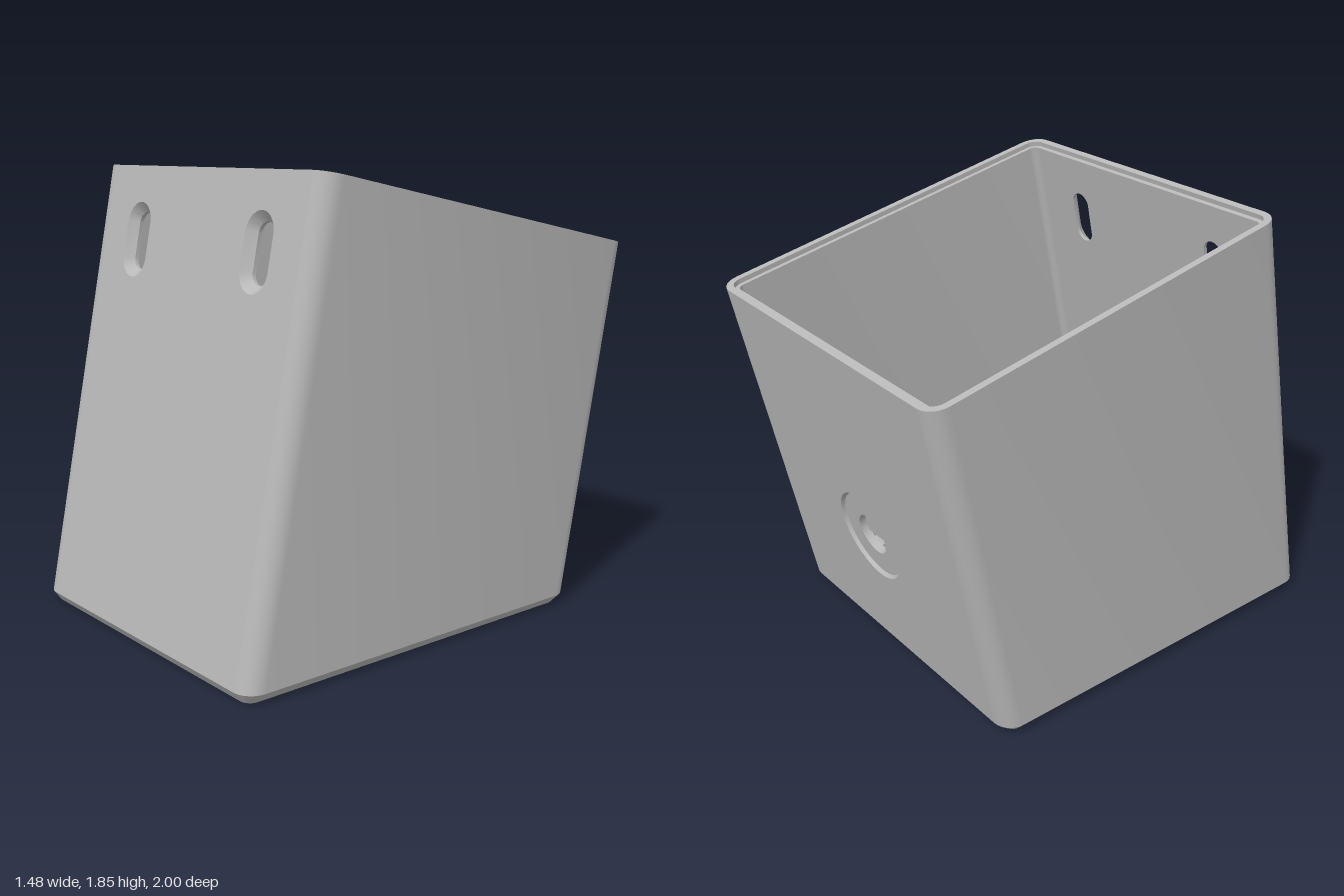
import * as THREE from 'three';
import { toCreasedNormals } from 'three/addons/utils/BufferGeometryUtils.js';

const TILT = Math.atan(0.2), S = Math.sin(TILT), C = Math.cos(TILT);
const HALF_X = 0.74, FRONT = 0.988, BACK = -0.679, TOP = 1.684;   // sizes in the tilted frame
const RADIUS = 0.08, WALL = 0.05, N = 6;
const FLOOR = 0.1, RIM_STEP = 0.02;
const FRONT_EDGE = N, BACK_EDGE = 3 * N + 2;   // flat edges of a rounded rectangle

// Rounded rectangle as [x, z] pairs
function roundedRect(halfX, z0, z1, r) {
  const pts = [], corners = [[1, 1], [-1, 1], [-1, -1], [1, -1]];
  corners.forEach(([sx, sz], k) => {
    for (let i = 0; i <= N; i++) {
      const a = (k + i / N) * Math.PI / 2;
      const cz = sz > 0 ? z1 - r : z0 + r;
      pts.push([sx * (halfX - r) + r * Math.cos(a), cz + r * Math.sin(a)]);
    }
  });
  return pts;
}

const section = inset => roundedRect(HALF_X - inset, BACK + inset, FRONT - inset, RADIUS - inset);
const levelY = (z, h) => (h - z * S) / C;   // tilted-frame y of a level plane at height h
const squareLoop = (inset, y) => section(inset).map(([x, z]) => new THREE.Vector3(x, y, z));
const levelLoop = (inset, h) => section(inset).map(([x, z]) => new THREE.Vector3(x, levelY(z, h), z));
const openingLoop = h => roundedRect(0.6, -0.51, 0.72, 0.015)
  .map(([x, z]) => new THREE.Vector3(x, h * C - z * S, z * C + h * S));

// Slot outline (a circle when half = 0)
function slotLoop(r, half, cx, cy, z) {
  const pts = [], n = 32;
  for (let i = 0; i < n; i++) {
    const a = (i + 0.5) / n * Math.PI * 2;
    pts.push(new THREE.Vector3(cx + r * Math.cos(a), cy + r * Math.sin(a) + half * Math.sign(Math.sin(a)), z));
  }
  return pts;
}

// Skin between successive closed loops
function loft(loops, skip = () => false) {
  const pos = [];
  for (let i = 0; i < loops.length - 1; i++) {
    const p = loops[i], q = loops[i + 1];
    p.forEach((a, j) => {
      if (skip(i, j)) return;
      const k = (j + 1) % p.length;
      for (const v of [a, q[j], q[k], a, q[k], p[k]]) pos.push(v.x, v.y, v.z);
    });
  }
  const g = new THREE.BufferGeometry();
  g.setAttribute('position', new THREE.Float32BufferAttribute(pos, 3));
  return toCreasedNormals(g, 0.5);
}

// Flat wall face with holes
function panel(y0, y1, z, facesBack, holes) {
  const w = HALF_X - RADIUS;
  const shape = new THREE.Shape([[-w, y0], [w, y0], [w, y1], [-w, y1]].map(p => new THREE.Vector2(...p)));
  holes.forEach(h => shape.holes.push(new THREE.Path(h.map(v => new THREE.Vector2(v.x, v.y)))));
  const g = new THREE.ShapeGeometry(shape);
  if (facesBack) g.rotateY(Math.PI);
  return g.translate(0, 0, z);
}

export function createModel() {
  const grey = new THREE.MeshStandardMaterial({ color: 0xb8b8b8 });
  grey.name = 'grey';
  const model = new THREE.Group();
  model.name = 'leaningBin';
  const body = new THREE.Group();
  body.name = 'tiltedBody';
  body.rotation.x = -TILT;
  model.add(body);

  const add = (name, geometry, parent = body) => {
    const m = new THREE.Mesh(geometry, grey);
    m.name = name;
    parent.add(m);
    return m;
  };
  const box = (name, w, h, d, x, y, z, parent) =>
    add(name, new THREE.BoxGeometry(w, h, d), parent).position.set(x, y, z);

  // Shell: chamfered foot, outer wall, stepped rim, inner wall, floor with opening
  const shell = [
    levelLoop(0.035, 0), levelLoop(0, 0.04), squareLoop(0, TOP), squareLoop(0.03, TOP),
    squareLoop(0.03, TOP - RIM_STEP), squareLoop(WALL, TOP - RIM_STEP), levelLoop(WALL, FLOOR),
    openingLoop(FLOOR), openingLoop(0), levelLoop(0.035, 0),
  ];
  add('shell', loft(shell, (i, j) => (i === 1 || i === 5) && (j === FRONT_EDGE || j === BACK_EDGE)));

  // Countersunk slots through the front wall
  const innerFront = FRONT - WALL, innerBack = BACK + WALL;
  const slotY = 1.383, slotHalf = 0.068;
  const slots = [-0.41, 0.41].map(x => [
    slotLoop(0.05, slotHalf, x, slotY, innerFront),
    slotLoop(0.05, slotHalf, x, slotY, FRONT - 0.035),
    slotLoop(0.085, slotHalf, x, slotY, FRONT),
  ]);
  slots.forEach(s => add('slotEdge', loft(s)));
  add('frontOuterFace', panel(levelY(FRONT, 0.04), TOP, FRONT, false, slots.map(s => s[2])));
  add('frontInnerFace', panel(levelY(innerFront, FLOOR), TOP - RIM_STEP, innerFront, true, slots.map(s => s[0])));

  // Round recess with a central hole in the back wall
  const holeY = 0.77;
  const socket = [[0.2, BACK], [0.19, BACK + 0.015], [0.09, BACK + 0.015], [0.09, innerBack]]
    .map(([r, z]) => slotLoop(r, 0, 0, holeY, z));
  add('backSocket', loft(socket));
  add('backOuterFace', panel(levelY(BACK, 0.04), TOP, BACK, true, [socket[0]]));
  add('backInnerFace', panel(levelY(innerBack, FLOOR), TOP - RIM_STEP, innerBack, false, [socket[3]]));

  // Small latch behind the hole
  box('latchArm', 0.18, 0.08, 0.19, 0, holeY, -0.54);
  box('latchLip', 0.18, 0.13, 0.05, 0, holeY - 0.025, -0.47);
  box('latchAxle', 0.3, 0.03, 0.03, 0, holeY, -0.6);
  for (const side of [-1, 1]) box('latchBracket', 0.035, 0.1, 0.11, side * 0.155, holeY, -0.58);

  // Ledge where the back wall meets the floor
  box('backLedge', 1.38, 0.065, 0.075, 0, 0.1125, -0.6375, model);
  return model;
}
